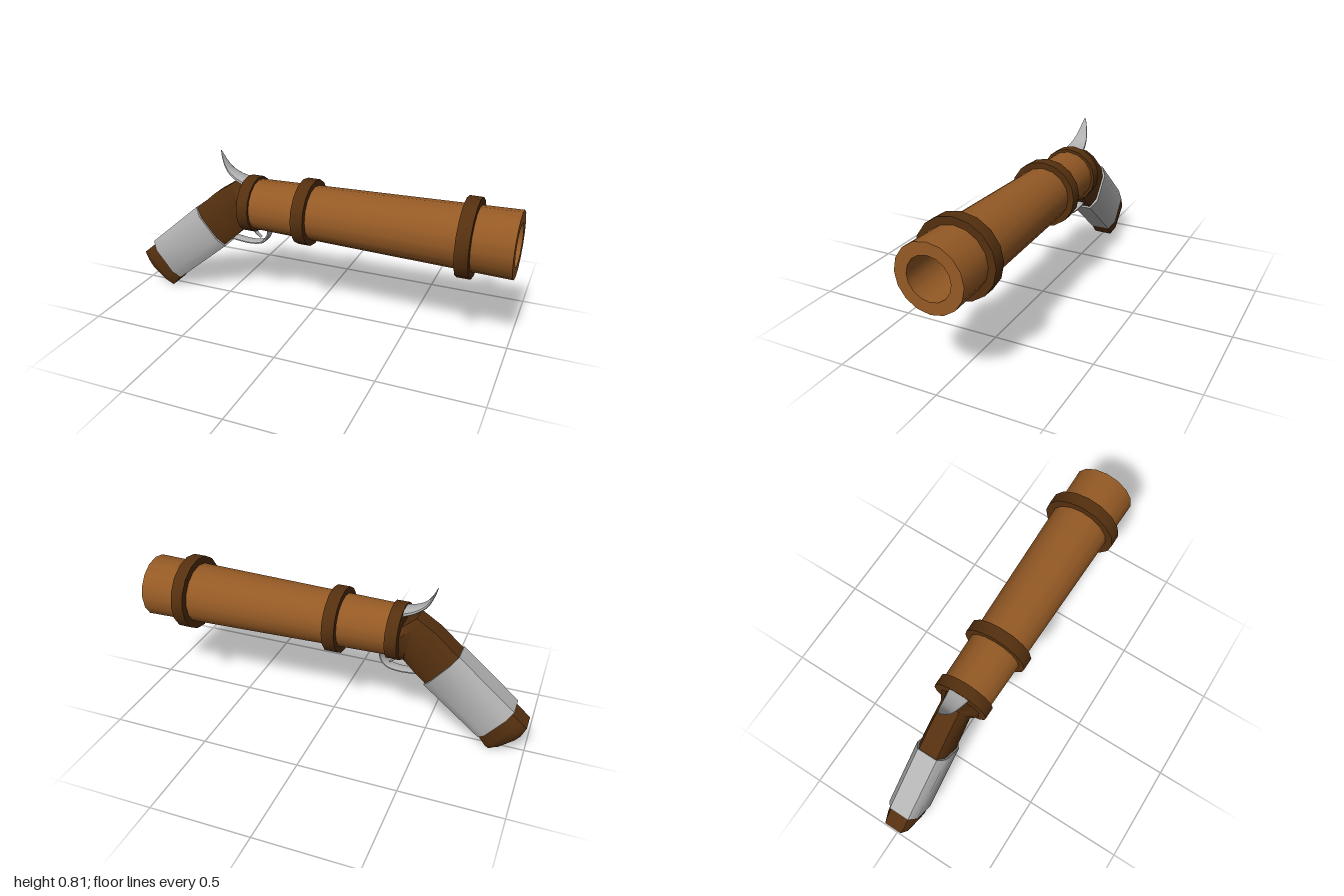
import * as THREE from 'three';
import { toCreasedNormals } from 'three/addons/utils/BufferGeometryUtils.js';

const AXIS_Y = 0.547; // height of the barrel axis

// Turned part around the barrel axis; profile is [x, radius] from rear to front
function turned(profile) {
  const pts = profile.map(([x, r]) => new THREE.Vector2(r, x));
  const geo = new THREE.LatheGeometry(pts, 16);
  geo.rotateZ(-Math.PI / 2);
  geo.scale(1, 0.98, 1);
  geo.translate(0, AXIS_Y, 0);
  return toCreasedNormals(geo, 0.6);
}

// Closed loft through chamfered sections: [topX, topY, bottomX, bottomY, halfWidth]
function loft(sections, inset, flat, crease) {
  const ring = [[0, flat], [inset, 1], [1 - inset, 1], [1, flat],
    [1, -flat], [1 - inset, -1], [inset, -1], [0, -flat]];
  const n = ring.length, pos = [], idx = [];
  for (const [tx, ty, bx, by, w] of sections)
    for (const [u, v] of ring) pos.push(tx + (bx - tx) * u, ty + (by - ty) * u, v * w);
  for (let s = 0; s < sections.length - 1; s++)
    for (let i = 0; i < n; i++) {
      const a = s * n + i, b = s * n + (i + 1) % n;
      idx.push(a, a + n, b, b, a + n, b + n);
    }
  const last = (sections.length - 1) * n;
  for (let i = 1; i < n - 1; i++) {
    idx.push(0, i, i + 1);
    idx.push(last, last + i + 1, last + i);
  }
  const geo = new THREE.BufferGeometry();
  geo.setAttribute('position', new THREE.Float32BufferAttribute(pos, 3));
  geo.setIndex(idx);
  return toCreasedNormals(geo, crease);
}

// Curved metal strip along points in the side plane, tapering by functions of t
function strip(points, thick, width, steps = 14) {
  const curve = new THREE.CatmullRomCurve3(points.map(([x, y]) => new THREE.Vector3(x, y, 0)));
  const sections = [];
  for (let i = 0; i <= steps; i++) {
    const t = i / steps, p = curve.getPoint(t), d = curve.getTangent(t), h = thick(t) / 2;
    sections.push([p.x + d.y * h, p.y - d.x * h, p.x - d.y * h, p.y + d.x * h, width(t)]);
  }
  return loft(sections, 0.3, 0.6, 1);
}

export function createModel() {
  const model = new THREE.Group();
  const mat = (name, color) => {
    const m = new THREE.MeshStandardMaterial({ color });
    m.name = name;
    return m;
  };
  const wood = mat('light wood', 0x955a25);
  const dark = mat('dark wood', 0x55300f);
  const steel = mat('steel', 0xb2b2b2);
  const add = (name, geo, material) => {
    const mesh = new THREE.Mesh(geo, material);
    mesh.name = name;
    model.add(mesh);
  };

  // Flared barrel with an open bore
  add('barrel', turned([[-0.34, 0], [-0.34, 0.131], [1, 0.164], [1, 0.105], [0.4, 0.1], [0.4, 0]]), wood);

  // Raised bands, the first one closing the breech
  const bands = [['breechBand', -0.363, -0.303, 0.146, 0],
    ['middleBand', -0.06, 0.004, 0.17, 0.12],
    ['muzzleBand', 0.745, 0.81, 0.196, 0.14]];
  for (const [name, x0, x1, r, inner] of bands)
    add(name, turned([[x0, inner], [x0, r], [x1, r], [x1, 0.12]]), dark);

  // Neck bending down from the breech, running on inside the sleeve
  add('neck', loft([
    [-0.35, 0.595, -0.35, 0.43, 0.112],
    [-0.43, 0.655, -0.375, 0.415, 0.068],
    [-0.53, 0.59, -0.43, 0.36, 0.07],
    [-0.66, 0.475, -0.505, 0.295, 0.073],
  ], 0.22, 0.68, 0.9), dark);

  // Butt of the grip
  add('butt', loft([
    [-0.9, 0.255, -0.765, 0.08, 0.073],
    [-0.97, 0.195, -0.815, 0.015, 0.072],
    [-1, 0.17, -0.833, 0, 0.066],
    [-0.977, 0.108, -0.855, 0.005, 0.05],
  ], 0.2, 0.7, 0.9), dark);

  // Metal sleeve around the grip
  add('gripSleeve', loft([
    [-0.647, 0.495, -0.485, 0.3, 0.083],
    [-0.932, 0.25, -0.777, 0.058, 0.083],
  ], 0.2, 0.64, 0.9), steel);

  // Hammer sweeping up to a point
  add('hammer', strip([[-0.355, 0.66], [-0.41, 0.678], [-0.46, 0.71], [-0.49, 0.755], [-0.51, 0.807]],
    t => 0.034 * (1 - t) + 0.003, t => 0.052 * Math.pow(1 - t, 0.8) + 0.002), steel);

  // Trigger guard and trigger
  add('triggerGuard', strip([[-0.25, 0.43], [-0.253, 0.385], [-0.285, 0.345], [-0.35, 0.331], [-0.48, 0.342]],
    () => 0.015, () => 0.028), steel);
  add('trigger', strip([[-0.335, 0.43], [-0.332, 0.395], [-0.298, 0.362]],
    t => 0.014 - 0.008 * t, t => 0.018 - 0.008 * t, 8), steel);

  return model;
}
